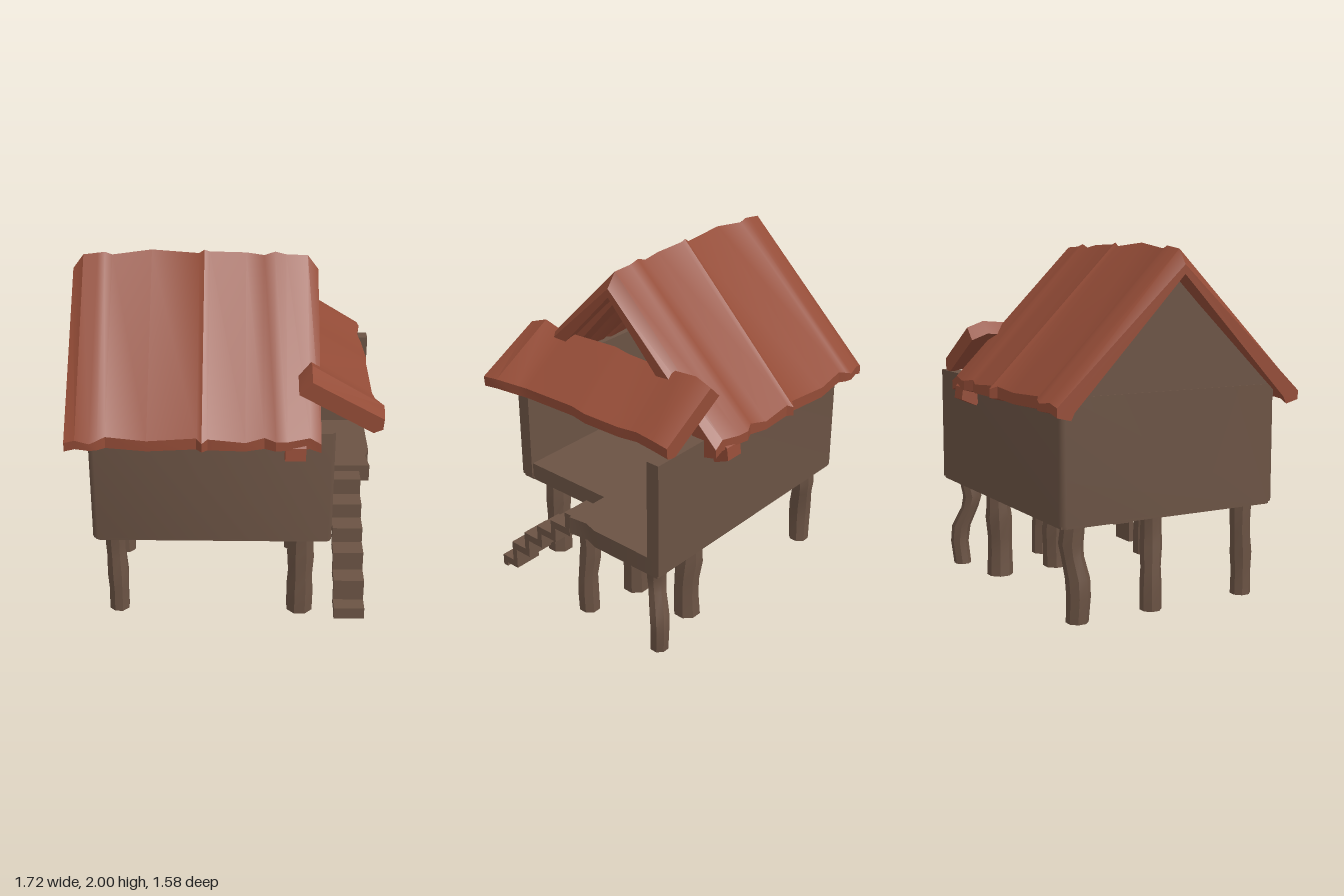
import * as THREE from 'three';
import { toCreasedNormals } from 'three/addons/utils/BufferGeometryUtils.js';

const wood = new THREE.MeshStandardMaterial({ color: 0x6b5344, side: THREE.DoubleSide });
const tile = new THREE.MeshStandardMaterial({ color: 0x944c37, side: THREE.DoubleSide });

// Maps section coordinates (u, v) at station w into model space
const alongX = (u, v, w) => [w, v, -u];
const alongY = (u, v, w) => [v, w, u];
const alongZ = (u, v, w) => [u, v, w];

// Joins counter-clockwise sections into a closed solid
function loft(sections, stations, place, crease = 0.5) {
  const pos = [];
  const last = sections.length - 1, n = sections[0].length;
  const put = (i, j) => pos.push(...place(...sections[i][j % n], stations[i]));
  for (let i = 0; i < last; i++) {
    for (let j = 0; j < n; j++) {
      put(i, j); put(i, j + 1); put(i + 1, j + 1);
      put(i, j); put(i + 1, j + 1); put(i + 1, j);
    }
  }
  for (const i of [0, last]) {
    const outline = sections[i].map(([u, v]) => new THREE.Vector2(u, v));
    for (const [a, b, c] of THREE.ShapeUtils.triangulateShape(outline, [])) {
      const order = i === 0 ? [c, b, a] : [a, b, c];
      order.forEach((k) => put(i, k));
    }
  }
  const geo = new THREE.BufferGeometry();
  geo.setAttribute('position', new THREE.Float32BufferAttribute(pos, 3));
  return toCreasedNormals(geo, crease);
}

const prism = (section, from, to, place) => loft([section, section], [from, to], place);

// Mirrors a right-hand half section (bottom point first, top point last)
function mirrored(half) {
  const left = half.slice(1, -1).reverse().map(([u, v]) => [-u, v]);
  return [...half, ...left];
}

// Extrudes a floor-plan outline (x, z) between two heights
function planSolid(points, y0, y1) {
  const shape = new THREE.Shape(points.map(([x, z]) => new THREE.Vector2(x, z)));
  const geo = new THREE.ExtrudeGeometry(shape, { depth: y1 - y0, bevelEnabled: false });
  geo.rotateX(Math.PI / 2).translate(0, y1, 0);
  return toCreasedNormals(geo, 0.9);
}

export function createModel() {
  const model = new THREE.Group();
  const add = (name, geo, mat) => {
    const mesh = new THREE.Mesh(geo, mat);
    mesh.name = name;
    model.add(mesh);
    return mesh;
  };

  // Floor with the porch landing on the back half of the open side
  add('floor', planSolid([
    [-0.72, 0.66], [0.57, 0.66], [0.57, 0], [0.85, 0], [0.835, -0.12], [0.86, -0.2],
    [0.86, -0.66], [-0.72, -0.66], [-0.73, -0.64], [-0.73, 0.64],
  ], 0.535, 0.64), wood);

  // Front, left and back walls in one U-shaped run
  const outer = [[0.86, -0.67], [-0.715, -0.67], [-0.735, -0.66], [-0.745, -0.64],
    [-0.745, 0.65], [-0.735, 0.67], [-0.715, 0.68], [0.56, 0.685], [0.58, 0.67]];
  const inner = [[0.58, 0.59], [-0.66, 0.59], [-0.66, -0.59], [0.86, -0.59]];
  const walls = [...outer, ...inner];
  add('walls', planSolid(walls, 0.55, 1.22), wood);
  add('wallFoot', planSolid(walls.map(([x, z]) => [x * 0.99, z * 0.985]), 0.535, 0.551), wood);

  // Gable above the left wall, with a red lining on the inside
  add('gableWall', prism([[-0.67, 1.15], [0.67, 1.15], [0.67, 1.21], [0, 1.88], [-0.67, 1.21]],
    -0.74, -0.665, alongX), wood);
  add('gableLining', prism(mirrored([[0, 1.42], [0.59, 1.03], [0.59, 1.25], [0, 1.84]]),
    -0.66, -0.64, alongX), tile);

  // Main roof: x, ridge height, eave reach
  const roofStations = [
    [-0.86, 1.89, 0.75], [-0.8, 1.97, 0.76], [-0.72, 1.98, 0.78], [-0.68, 1.985, 0.77],
    [-0.64, 1.97, 0.745], [-0.42, 2.0, 0.78], [-0.16, 1.98, 0.755], [-0.13, 2.0, 0.79],
    [-0.1, 1.99, 0.765], [0.1, 1.985, 0.775], [0.2, 1.97, 0.745], [0.26, 1.99, 0.775],
    [0.32, 1.975, 0.765], [0.44, 1.97, 0.745], [0.5, 1.89, 0.75],
  ];
  const roofSection = ([, ridge, reach]) => {
    const drop = ridge < 1.95 ? 0.02 : 0;
    const eave = ridge - reach + drop;
    return mirrored([[0, 1.84], [reach - 0.1, 1.18 - drop], [reach - 0.08, 1.14 - drop],
      [reach, 1.16 - drop], [reach, Math.max(eave, 1.19)], [0, ridge]]);
  };
  add('mainRoof', loft(roofStations.map(roofSection), roofStations.map((s) => s[0]), alongX), tile);

  // Pair of rafters under the open end
  add('rafters', prism(mirrored([[0, 1.81], [0.68, 1.06], [0.77, 1.1], [0.76, 1.17], [0, 1.87]]),
    0.31, 0.42, alongX), tile);

  // Lean-to roof over the porch: z, outer reach, lift
  const porchStations = [
    [-0.67, 0.79, -0.035], [-0.57, 0.795, 0], [-0.45, 0.775, -0.01], [-0.33, 0.79, -0.02],
    [-0.1, 0.8, -0.015], [0, 0.79, 0], [0.35, 0.79, -0.02], [0.42, 0.8, -0.02],
    [0.54, 0.84, 0.01], [0.66, 0.83, -0.035],
  ];
  add('porchRoof', loft(porchStations.map(([, reach, lift]) => [
    [0.38, 1.47 + lift], [reach - 0.05, 1.23 + lift / 2], [reach, 1.25 + lift / 2],
    [reach + 0.005, 1.31 + lift / 2], [0.45, 1.54 + lift],
  ]), porchStations.map((s) => s[0]), alongZ), tile);

  // Bent posts: x, z, radius, bend in x, bend in z
  const posts = [
    [-0.63, 0.54, 0.06, 0.005, 0.01], [-0.63, -0.06, 0.06, -0.015, -0.01],
    [-0.63, -0.54, 0.065, -0.02, 0.02], [0.42, 0.54, 0.078, 0, 0.005],
    [0.42, -0.1, 0.08, 0.01, -0.01], [0.41, -0.5, 0.075, 0.01, 0.01],
    [0.75, -0.05, 0.062, 0.01, 0.01], [0.745, -0.56, 0.055, 0.035, -0.045],
  ];
  const levels = [0, 0.14, 0.24, 0.36, 0.43, 0.56];
  const bends = [0.7, 1, 0.8, -0.2, -0.5, 0];
  for (const [x, z, r, bx, bz] of posts) {
    const rings = levels.map((y, i) => Array.from({ length: 8 }, (_, j) => {
      const a = (j / 8) * Math.PI * 2 + 0.39;
      const rr = r * (1 + 0.06 * Math.sin(i * 2.3 + x * 9 + z * 5));
      return [z + bz * bends[i] + rr * Math.cos(a), x + bx * bends[i] + rr * Math.sin(a)];
    }));
    add('post', loft(rings, levels, alongY, 0.6), wood);
  }

  // Folded stair ribbon: front edge and top of each tread, from the landing down
  const treads = [[0.1, 0.6], [0.22, 0.5], [0.34, 0.41], [0.455, 0.315], [0.57, 0.2], [0.66, 0.07]];
  const upper = [[0, 0.6]];
  treads.forEach(([z, y], i) => {
    const next = treads[i + 1];
    upper.push([z, y], [z, next ? next[1] : 0]);
  });
  const lower = upper.slice(0, -1).map(([z, y]) => [z - 0.035, y - 0.045]);
  lower.push([0.625, 0]);
  const stair = [...upper, ...lower.reverse()].map(([z, y]) => [-z, y]);
  add('stairs', prism(stair, 0.615, 0.79, alongX), wood);

  return model;
}
